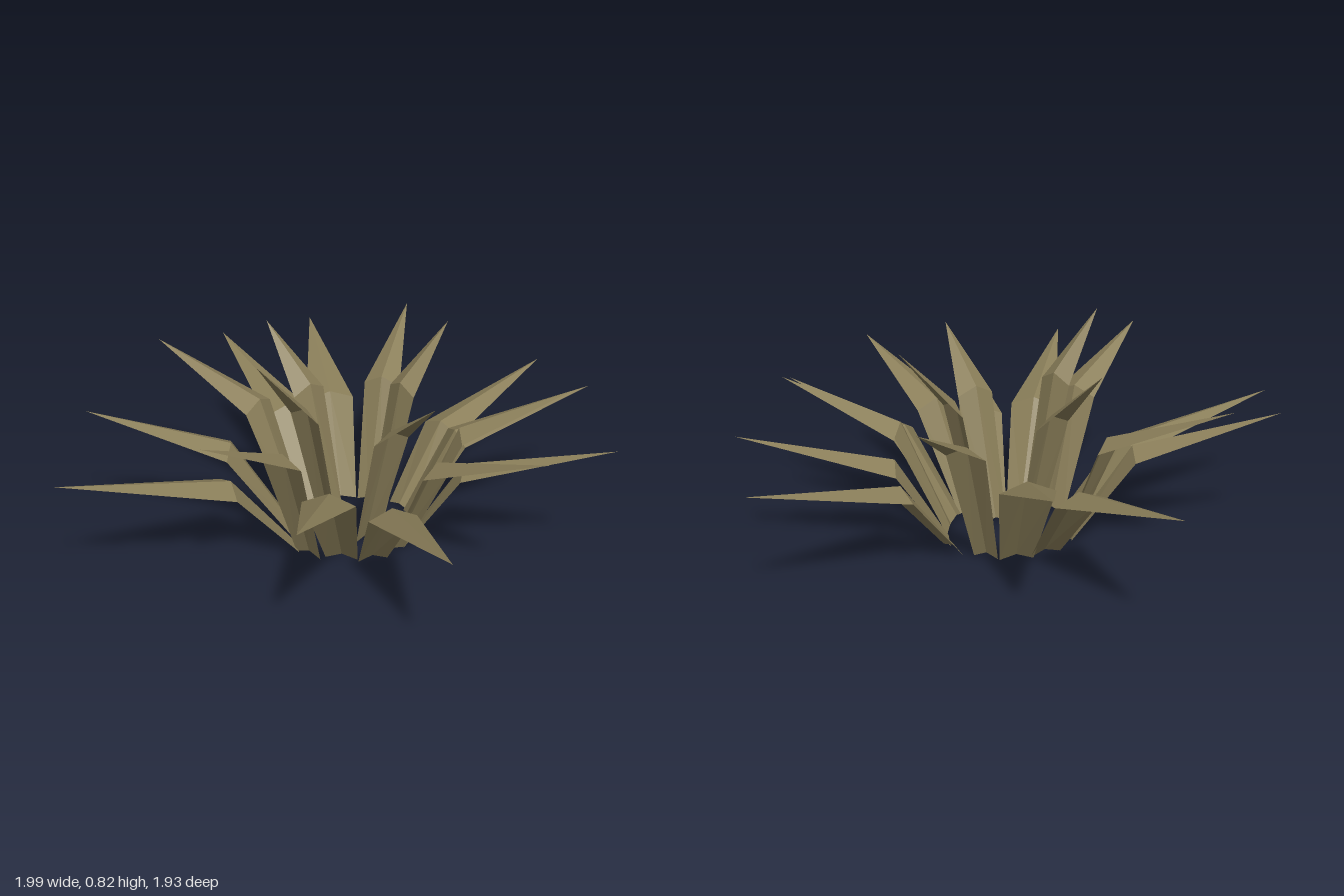
import * as THREE from 'three';

// Each leaf: [base x, z,  bend x, z,  tip x, y, z,  width at the bend]
const OUTER = [
  [-0.06, -0.28, -0.135, -0.49, -0.29, 0.55, -0.97, 0.2],
  [0.055, -0.285, 0.09, -0.45, 0.16, 0.68, -0.84, 0.15],
  [0.19, -0.24, 0.345, -0.42, 0.74, 0.44, -0.86, 0.19],
  [0.23, -0.16, 0.41, -0.26, 0.93, 0.49, -0.46, 0.19],
  [0.245, -0.07, 0.43, -0.09, 0.84, 0.61, -0.12, 0.16],
  [0.24, 0.03, 0.455, 0.07, 0.99, 0.51, 0.18, 0.17],
  [0.2, 0.12, 0.36, 0.22, 0.73, 0.61, 0.52, 0.18],
  [0.12, 0.185, 0.21, 0.41, 0.435, 0.48, 0.96, 0.18],
  [0, 0.19, -0.015, 0.425, -0.04, 0.55, 0.96, 0.195],
  [-0.13, 0.18, -0.2, 0.325, -0.4, 0.68, 0.68, 0.18],
  [-0.2, 0.11, -0.42, 0.22, -0.96, 0.44, 0.555, 0.2],
  [-0.235, -0.03, -0.465, 0, -1, 0.51, 0.07, 0.19],
  [-0.22, -0.13, -0.385, -0.205, -0.82, 0.65, -0.36, 0.18],
  [-0.16, -0.22, -0.31, -0.44, -0.68, 0.485, -0.9, 0.2],
];
const INNER = [
  [-0.06, 0.035, -0.14, 0.15, -0.28, 0.82, 0.31, 0.15],
  [0.1, -0.125, 0.19, -0.2, 0.355, 0.79, -0.33, 0.16],
  [-0.07, -0.13, -0.18, -0.215, -0.37, 0.75, -0.36, 0.16],
  [0.08, 0.035, 0.18, 0.155, 0.345, 0.72, 0.37, 0.15],
];

// Folded leaf: a raised midrib, a steep lower part and a pointed outer part
function leafGeometry([bx, bz, mx, mz, tx, ty, tz, width]) {
  const out = new THREE.Vector3(tx - bx, 0, tz - bz).normalize();
  const side = new THREE.Vector3(out.z, 0, -out.x);
  const row = (x, y, z, w, rise) => {
    const c = new THREE.Vector3(x, y, z);
    return [
      c.clone().addScaledVector(side, -w / 2),
      c.clone().addScaledVector(out, -rise * 0.25).setY(y + rise),
      c.clone().addScaledVector(side, w / 2),
    ];
  };
  const base = row(bx, 0, bz, width * 0.64, 0.018);
  const bend = row(mx, ty * 0.73 - 0.037, mz, width, 0.037);
  const tip = new THREE.Vector3(tx, ty, tz);
  const corners = [];
  for (let i = 0; i < 2; i++) {
    corners.push(base[i], base[i + 1], bend[i + 1]);
    corners.push(base[i], bend[i + 1], bend[i]);
    corners.push(bend[i], bend[i + 1], tip);
  }
  const geometry = new THREE.BufferGeometry().setFromPoints(corners);
  geometry.computeVertexNormals();
  return geometry;
}

export function createModel() {
  const model = new THREE.Group();
  model.name = 'spikyPlant';
  const leafMaterial = new THREE.MeshStandardMaterial({
    color: 0x8a7e59, side: THREE.DoubleSide, flatShading: true,
  });
  leafMaterial.name = 'dry olive leaf';

  // Wide outer rosette and a steeper inner ring
  for (const [name, leaves] of [['outerLeaf', OUTER], ['innerLeaf', INNER]]) {
    const ring = new THREE.Group();
    ring.name = name + 'Ring';
    leaves.forEach((leaf, i) => {
      const mesh = new THREE.Mesh(leafGeometry(leaf), leafMaterial);
      mesh.name = name + (i + 1);
      ring.add(mesh);
    });
    model.add(ring);
  }
  return model;
}
